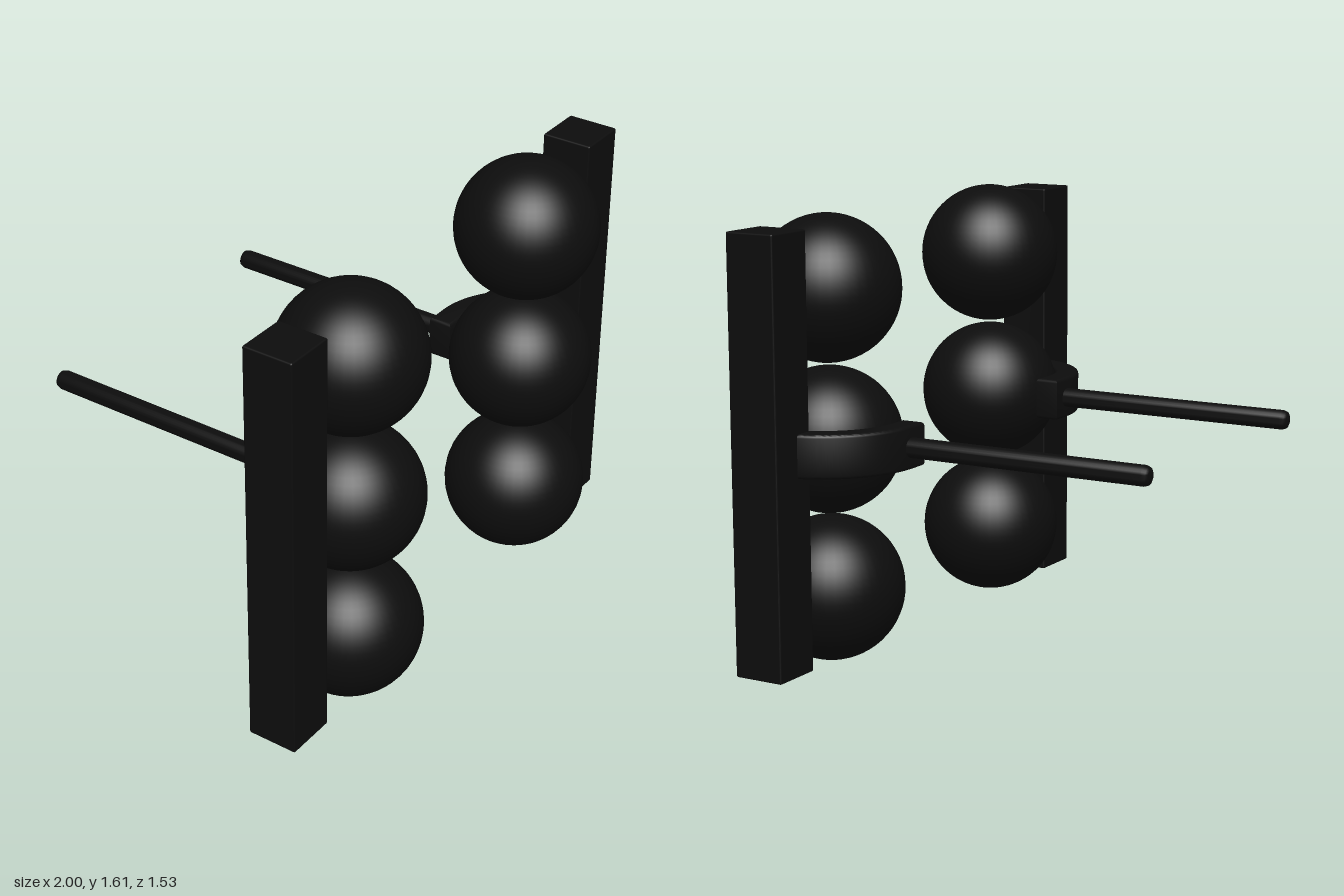
import * as THREE from 'three';
import { RoundedBoxGeometry } from 'three/addons/geometries/RoundedBoxGeometry.js';
import { toCreasedNormals } from 'three/addons/utils/BufferGeometryUtils.js';

const black = new THREE.MeshStandardMaterial({ color: 0x0d0d0d });
black.name = 'black';

function add(group, name, geometry, x, y, z) {
  const mesh = new THREE.Mesh(geometry, black);
  mesh.name = name;
  mesh.position.set(x, y, z);
  group.add(mesh);
  return mesh;
}

// Curved bracket running from behind the middle ball round to the bar
function bracketGeometry() {
  const bevel = 0.012, outer = 0.345 - bevel, inner = 0.255 + bevel;
  const shape = new THREE.Shape();
  shape.moveTo(-0.08 + bevel, -outer);
  shape.lineTo(0, -outer);
  shape.absarc(0, 0, outer, -Math.PI / 2, -0.08, false);
  shape.absarc(0, 0, inner, -0.08, -Math.PI / 2, true);
  shape.lineTo(-0.08 + bevel, -inner);
  shape.closePath();
  const geometry = new THREE.ExtrudeGeometry(shape, {
    depth: 0.155 - 2 * bevel, bevelEnabled: true, bevelSize: bevel,
    bevelThickness: bevel, bevelSegments: 3, curveSegments: 24,
  });
  geometry.translate(0, 0, -(0.155 - 2 * bevel) / 2);
  geometry.rotateX(Math.PI / 2);
  return toCreasedNormals(geometry, 0.7);
}

function createEarring(side) {
  const group = new THREE.Group();
  group.name = side > 0 ? 'leftEarring' : 'rightEarring';
  const x = side * 0.55, z = 0.505;
  const lowest = side > 0 ? 0.271 : 0.279;

  // Column of three touching balls
  const ball = new THREE.SphereGeometry(0.262, 48, 32);
  ['lowerBall', 'middleBall', 'upperBall'].forEach((name, i) =>
    add(group, name, ball, x, lowest + i * 0.537, z));

  // Upright bar on the outer side
  add(group, 'bar', new RoundedBoxGeometry(0.192, 1.54, 0.19, 2, 0.006), side * 0.904, 0.81, 0.503);

  // The bracket is symmetric in height, so a half turn mirrors it
  const bracket = add(group, 'bracket', bracketGeometry(), x, 0.812, z);
  if (side < 0) bracket.rotation.z = Math.PI;

  // Round-ended post pointing backwards
  const r = 0.036;
  const profile = [[0, -0.765], [0.02, -0.765], [0.031, -0.759], [r, -0.745], [r, 0.2], [0, 0.2]]
    .map(([px, py]) => new THREE.Vector2(px, py));
  const post = toCreasedNormals(new THREE.LatheGeometry(profile, 24).rotateX(Math.PI / 2), 0.8);
  add(group, 'post', post, x, 0.812, 0);
  return group;
}

export function createModel() {
  const model = new THREE.Group();
  model.name = 'earrings';
  model.add(createEarring(1), createEarring(-1));
  return model;
}
